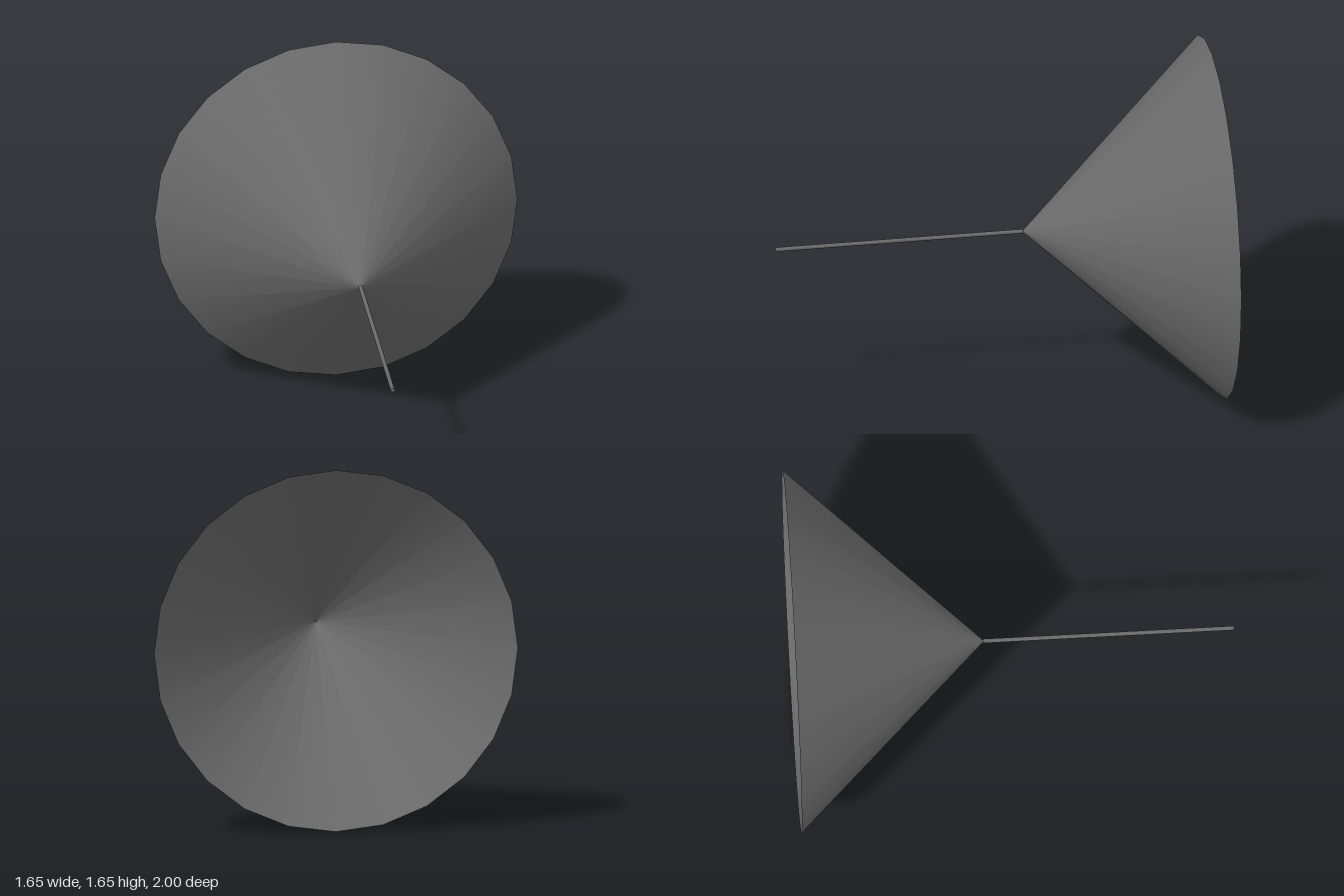
import * as THREE from 'three';

export function createModel() {
  const group = new THREE.Group();
  const axisY = 0.828;
  const radius = 0.826;
  const apexZ = -0.13;
  const rimZ = -1;
  const darkGrey = 0x696969;

  // open conical shell, apex towards the front
  const depth = apexZ - rimZ;
  const shellGeometry = new THREE.ConeGeometry(radius, depth, 24, 1, true);
  shellGeometry.rotateX(Math.PI / 2);
  const shell = new THREE.Mesh(
    shellGeometry,
    new THREE.MeshStandardMaterial({ color: darkGrey, side: THREE.DoubleSide })
  );
  shell.name = 'coneShell';
  shell.position.set(0, axisY, (apexZ + rimZ) / 2);
  group.add(shell);

  // thin rod from the apex forwards
  const rodLength = 1 - apexZ + 0.005;
  const rodGeometry = new THREE.CylinderGeometry(0.01, 0.01, rodLength, 12);
  rodGeometry.rotateX(Math.PI / 2);
  const rod = new THREE.Mesh(rodGeometry, new THREE.MeshStandardMaterial({ color: darkGrey }));
  rod.name = 'rod';
  rod.position.set(0, axisY, 1 - rodLength / 2);
  group.add(rod);

  return group;
}
